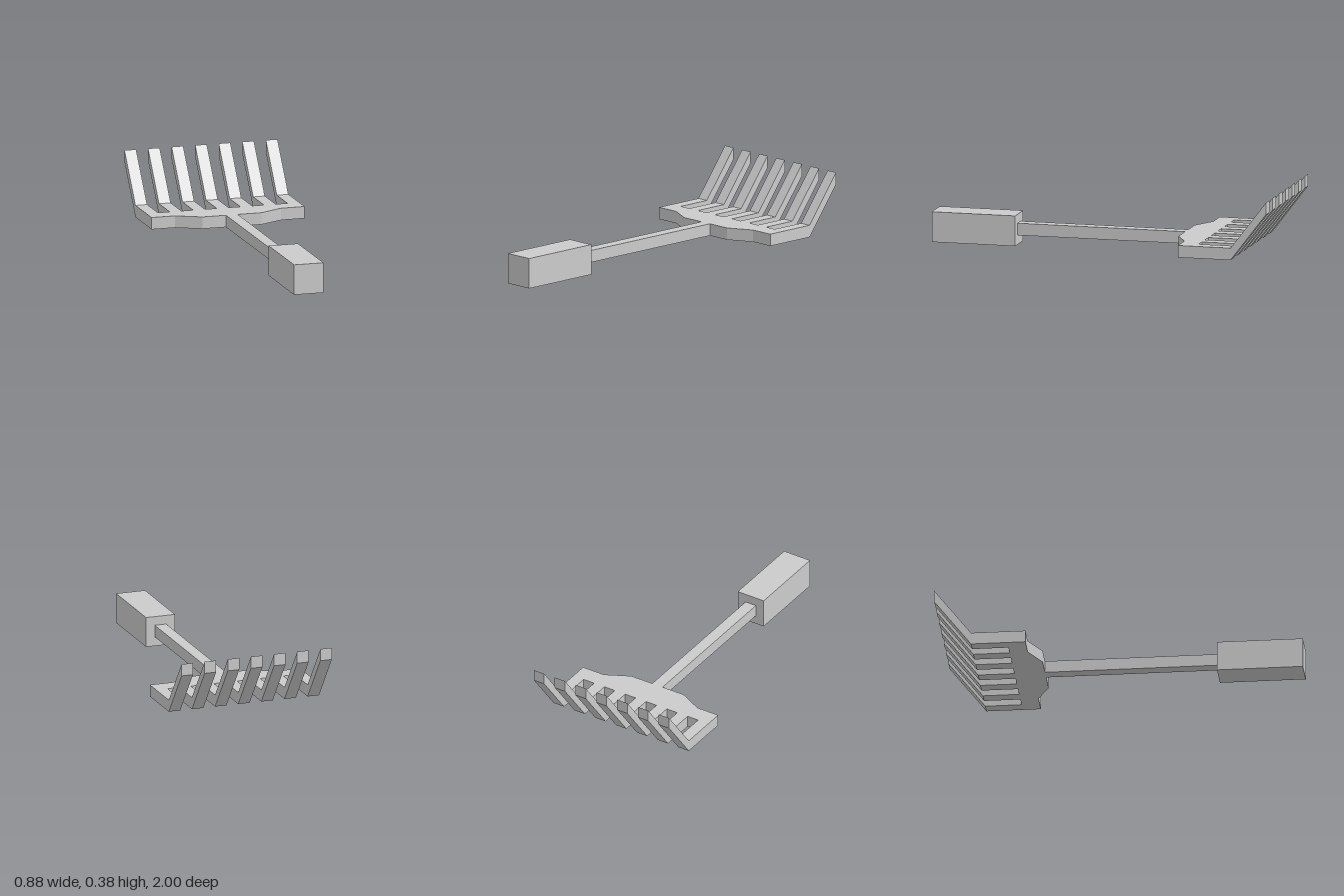
import * as THREE from 'three';

const BAR = 0.067;   // thickness of shaft, plate and tines
const BASE = 0.052;  // underside height of shaft, plate and tines
const TINES = 7;
const SPACING = 0.1355;

const material = new THREE.MeshStandardMaterial({ color: 0xcccccc, flatShading: true });

function part(name, geometry) {
  const mesh = new THREE.Mesh(geometry, material);
  mesh.name = name;
  return mesh;
}

function extrude(points, depth) {
  const shape = new THREE.Shape(points.map(([x, y]) => new THREE.Vector2(x, y)));
  return new THREE.ExtrudeGeometry(shape, { depth, bevelEnabled: false });
}

// Square bar running along z
function bar(size, zFrom, zTo, y) {
  return new THREE.BoxGeometry(size, size, zTo - zFrom).translate(0, y, (zFrom + zTo) / 2);
}

export function createModel() {
  const model = new THREE.Group();
  model.name = 'rake';

  // Thick grip and slim shaft
  model.add(part('grip', bar(0.169, 0.526, 1, 0.0845)));
  model.add(part('shaft', bar(BAR, -0.43, 0.526, BASE + BAR / 2)));

  // Head plate: outline seen from above, with tapered shoulders
  const half = [[0.17, 0.428], [0.305, 0.497], [0.44, 0.497], [0.44, 0.597]];
  const outline = [...half, ...half.map(([x, s]) => [-x, s]).reverse()];
  const plate = extrude(outline, BAR).rotateX(-Math.PI / 2).translate(0, BASE, 0);
  model.add(part('headPlate', plate));

  // Tines: side profile that runs flat, then bends upward
  const top = BASE + BAR;
  const tine = extrude([
    [0.597, BASE], [0.797, BASE], [1, 0.317],
    [1, 0.384], [0.797, top], [0.597, top],
  ], BAR).rotateY(Math.PI / 2).translate(-BAR / 2, 0, 0);
  const tines = new THREE.Group();
  tines.name = 'tines';
  for (let i = 0; i < TINES; i++) {
    const mesh = part('tine', tine);
    mesh.position.x = (i - (TINES - 1) / 2) * SPACING;
    tines.add(mesh);
  }
  model.add(tines);

  return model;
}
